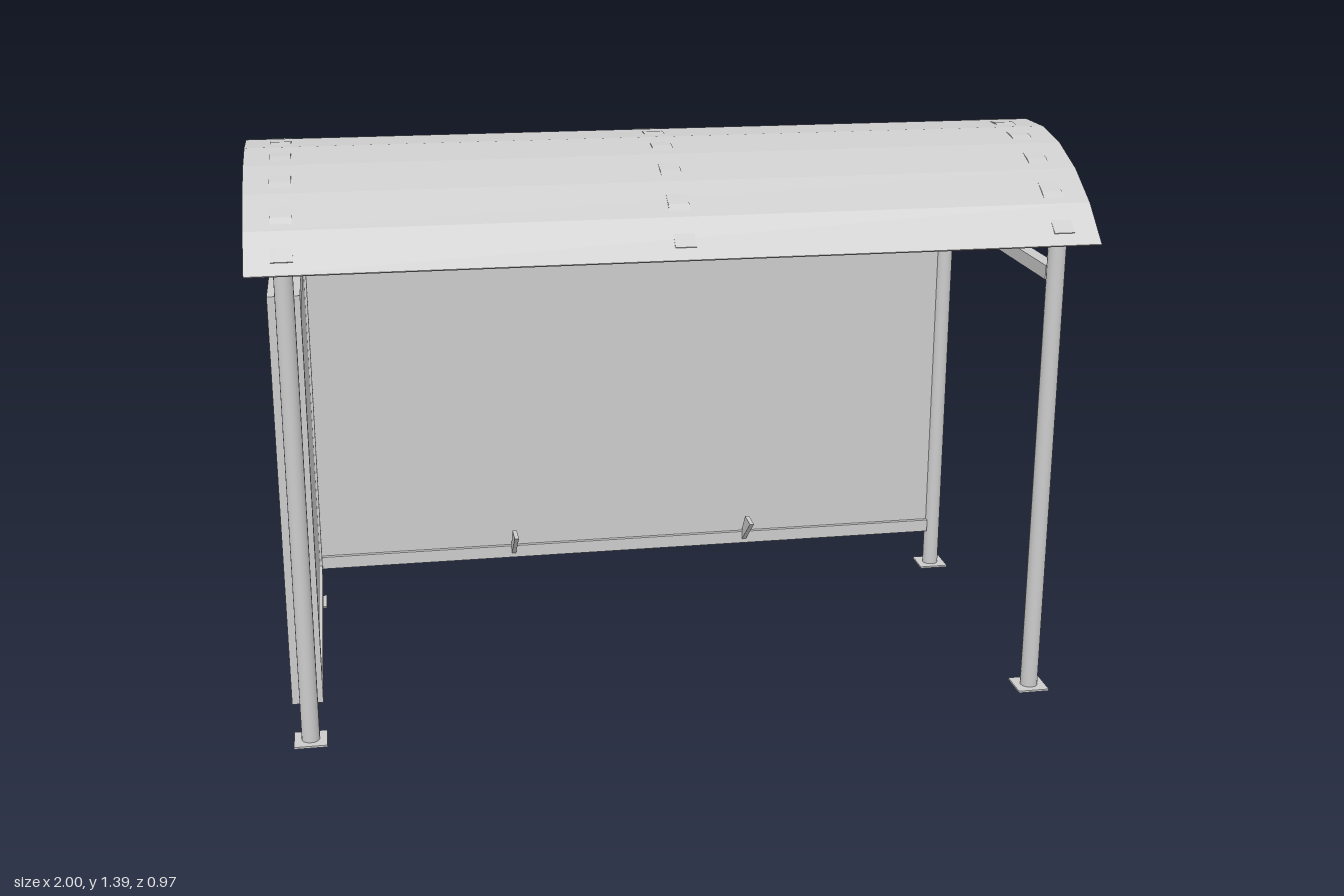
import * as THREE from 'three';

const material = new THREE.MeshStandardMaterial({ color: 0xcccccc });
const flat = new THREE.MeshStandardMaterial({ color: 0xcccccc, flatShading: true, side: THREE.DoubleSide });

const POST_X = 0.915, POST_Z = 0.42;
const ARC_R = 0.655, ARC_Y = 0.74;

function add(parent, name, geometry, x = 0, y = 0, z = 0, mat = material) {
  const mesh = new THREE.Mesh(geometry, mat);
  mesh.name = name;
  mesh.position.set(x, y, z);
  parent.add(mesh);
  return mesh;
}

function box(parent, name, w, h, d, x, y, z) {
  return add(parent, name, new THREE.BoxGeometry(w, h, d), x, y, z);
}

// Extrudes a (z, y) outline along x, centred on x = 0
function extrudeAlongX(shape, width) {
  const g = new THREE.ExtrudeGeometry(shape, { depth: width, bevelEnabled: false });
  g.translate(0, 0, -width / 2);
  g.rotateY(-Math.PI / 2); // shape x -> z
  return g;
}

// Curved strip: segmented arc across z with a given thickness
function arcStrip(width, radius, thickness, halfAngle, segments) {
  const outer = [], inner = [];
  for (let i = 0; i <= segments; i++) {
    const a = -halfAngle + (2 * halfAngle * i) / segments;
    const s = Math.sin(a), c = Math.cos(a);
    outer.push(new THREE.Vector2(radius * s, ARC_Y + radius * c));
    inner.unshift(new THREE.Vector2((radius - thickness) * s, ARC_Y + (radius - thickness) * c));
  }
  return extrudeAlongX(new THREE.Shape([...outer, ...inner]), width);
}

function rectangle(path, z, y0, y1) {
  path.moveTo(-z, y0);
  path.lineTo(z, y0);
  path.lineTo(z, y1);
  path.lineTo(-z, y1);
  path.closePath();
  return path;
}

export function createModel() {
  const shelter = new THREE.Group();
  shelter.name = 'shelter';

  // Four round posts on square feet
  for (const x of [-POST_X, POST_X]) {
    for (const z of [-POST_Z, POST_Z]) {
      add(shelter, 'post', new THREE.CylinderGeometry(0.022, 0.022, 1.175, 20), x, 0.5875, z);
      box(shelter, 'footPlate', 0.08, 0.005, 0.08, x, 0.0025, z);
    }
    // Tie beam under each end of the roof
    box(shelter, 'tieBeam', 0.035, 0.02, 0.926, x, 1.185, 0);
  }

  // Barrel roof with three bent ribs
  add(shelter, 'roof', arcStrip(2, ARC_R, 0.005, 0.838, 9), 0, 0, 0, flat);
  for (const x of [-POST_X, 0, POST_X]) {
    add(shelter, 'roofRib', arcStrip(0.05, ARC_R, 0.011, 0.785, 8), x, 0, 0, flat);
  }

  // Back wall: thin sheet between two rails
  box(shelter, 'backPanel', 1.79, 0.94, 0.012, 0, 0.61, -POST_Z);
  for (const y of [0.1275, 1.0925]) {
    box(shelter, 'backRail', 1.79, 0.035, 0.035, 0, y, -POST_Z);
  }

  // Open end: single upper rail
  box(shelter, 'sideRail', 0.035, 0.035, 0.8, POST_X, 1.0925, 0);

  // Closed end: deep framed display case
  const frame = rectangle(new THREE.Shape(), 0.4, 0.09, 1.11);
  frame.holes.push(rectangle(new THREE.Path(), 0.365, 0.135, 1.06));
  add(shelter, 'displayFrame', extrudeAlongX(frame, 0.075), -0.918);
  box(shelter, 'displayPanel', 0.062, 0.925, 0.73, -0.918, 0.5975, 0);

  // Seat brackets on the lower back rail
  const bracket = new THREE.Shape([
    new THREE.Vector2(-0.405, 0.12),
    new THREE.Vector2(-0.405, 0.15),
    new THREE.Vector2(-0.365, 0.207),
    new THREE.Vector2(-0.298, 0.207),
  ]);
  for (const x of [-0.338, 0.338]) {
    add(shelter, 'seatBracket', extrudeAlongX(bracket, 0.012), x);
  }

  return shelter;
}
